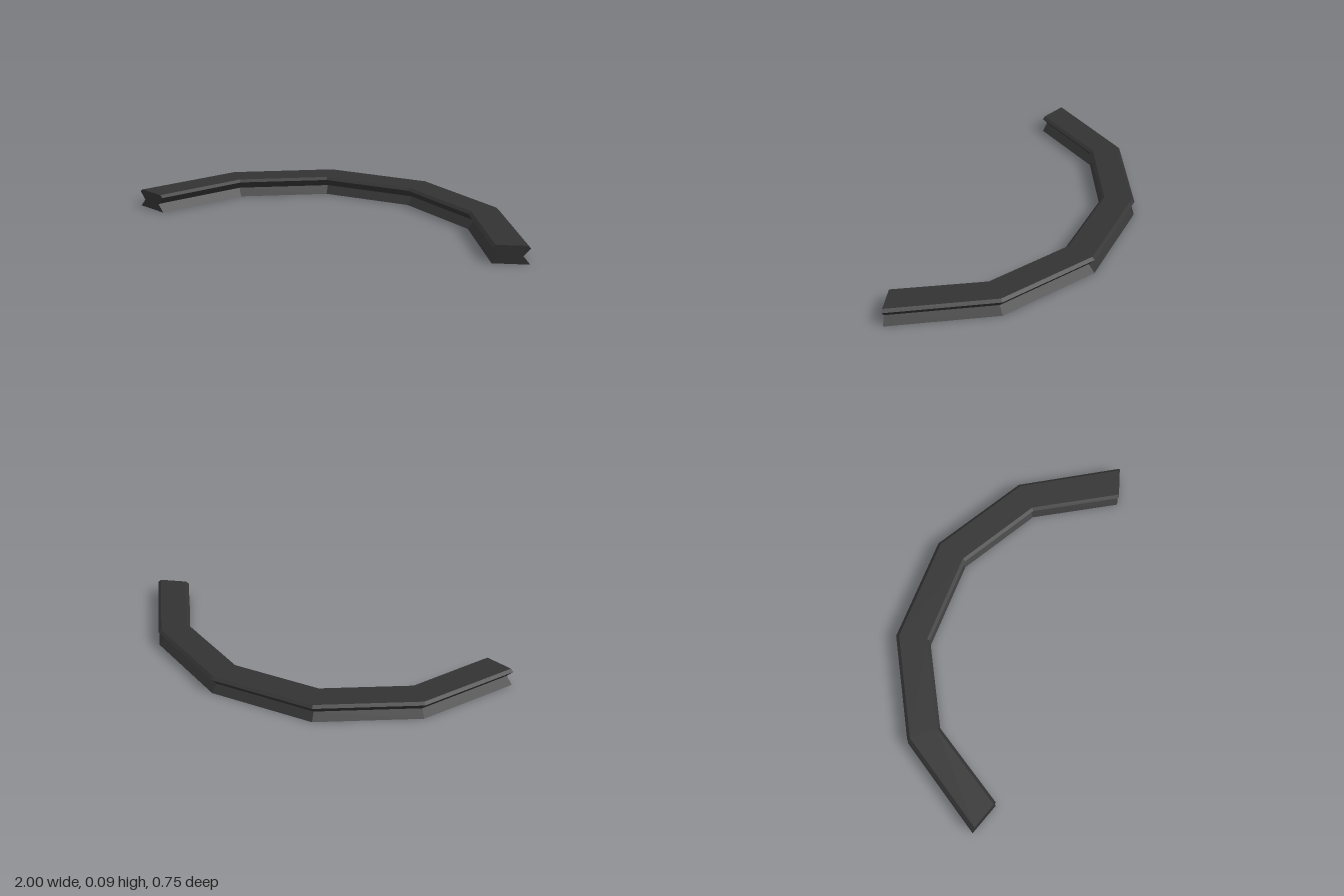
import * as THREE from 'three';

// Half of the plan: outer and inner corner [x, z] at each joint, from the middle to the end
const joints = [
  { outer: [0.265, -0.377], inner: [0.225, -0.215] },
  { outer: [0.72, -0.122], inner: [0.61, 0] },
  { outer: [1, 0.325], inner: [0.84, 0.377] },
];

// Cross-section: [fraction from outer to inner edge, height], notched sides and chamfered top
const section = [
  [0, 0], [0.2, 0.037], [0, 0.075], [0.09, 0.087],
  [0.91, 0.087], [1, 0.075], [0.8, 0.037], [1, 0],
];

// Place the cross-section on one joint, side = -1 or 1
function ring({ outer, inner }, side) {
  return section.map(([t, y]) => [
    side * THREE.MathUtils.lerp(outer[0], inner[0], t),
    y,
    THREE.MathUtils.lerp(outer[1], inner[1], t),
  ]);
}

function createRail() {
  const rings = [
    ...[...joints].reverse().map((j) => ring(j, -1)),
    ...joints.map((j) => ring(j, 1)),
  ];
  const positions = [];
  const quad = (a, b, c, d) => positions.push(...a, ...b, ...c, ...a, ...c, ...d);
  const n = section.length;

  // Long faces between neighbouring joints
  for (let s = 0; s < rings.length - 1; s++) {
    for (let j = 0; j < n; j++) {
      const k = (j + 1) % n;
      quad(rings[s][j], rings[s][k], rings[s + 1][k], rings[s + 1][j]);
    }
  }

  // End caps, built as strips across the symmetric section
  const first = rings[0];
  const last = rings[rings.length - 1];
  for (let j = 0; j < n / 2 - 1; j++) {
    quad(first[j], first[n - 1 - j], first[n - 2 - j], first[j + 1]);
    quad(last[j], last[j + 1], last[n - 2 - j], last[n - 1 - j]);
  }

  const geometry = new THREE.BufferGeometry();
  geometry.setAttribute('position', new THREE.Float32BufferAttribute(positions, 3));
  geometry.computeVertexNormals();
  return geometry;
}

export function createModel() {
  const group = new THREE.Group();
  group.name = 'curvedRail';
  const material = new THREE.MeshStandardMaterial({ color: 0x333333, flatShading: true });
  const rail = new THREE.Mesh(createRail(), material);
  rail.name = 'rail';
  group.add(rail);
  return group;
}
